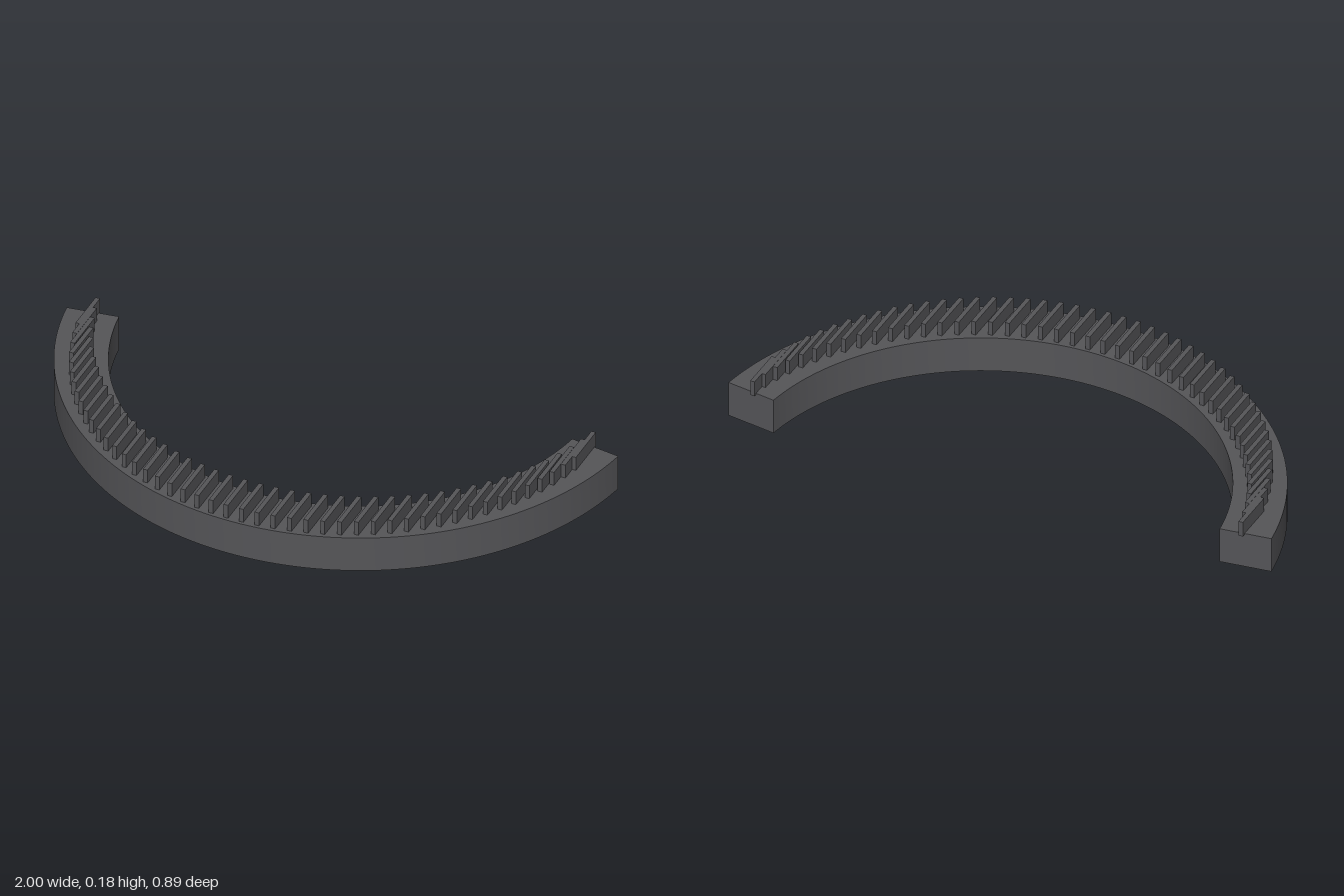
import * as THREE from 'three';
import { toCreasedNormals } from 'three/addons/utils/BufferGeometryUtils.js';

const CENTER_Z = -0.563;
const OUTER_R = 1.01, INNER_R = 0.83, TOOTH_R = 0.92;
const BODY_H = 0.132, TOTAL_H = 0.184;

export function createModel() {
  const model = new THREE.Group();
  model.name = 'curvedToothedRail';
  const darkGrey = new THREE.MeshStandardMaterial({ color: 0x555558 });
  darkGrey.name = 'dark grey';

  // Curved body: a ring sector a little under a half circle, open to the back
  const end = THREE.MathUtils.degToRad(8.05);
  const sector = new THREE.Shape();
  sector.absarc(0, 0, OUTER_R, end, Math.PI - end, false);
  sector.absarc(0, 0, INNER_R, Math.PI - end, end, true);
  sector.closePath();
  const bodyGeometry = new THREE.ExtrudeGeometry(sector, {
    depth: BODY_H, bevelEnabled: false, curveSegments: 72,
  });
  bodyGeometry.rotateX(Math.PI / 2).translate(0, BODY_H, CENTER_Z);
  const body = new THREE.Mesh(toCreasedNormals(bodyGeometry, Math.PI / 6), darkGrey);
  body.name = 'curvedBody';
  model.add(body);

  // Thin upright teeth along the arc, all facing the same way
  const teeth = new THREE.Group();
  teeth.name = 'teeth';
  const sink = 0.005;
  const toothGeometry = new THREE.BoxGeometry(0.016, TOTAL_H - BODY_H + sink, 0.157);
  const count = 46, first = THREE.MathUtils.degToRad(12.2);
  for (let i = 0; i < count; i++) {
    const a = first + (Math.PI - 2 * first) * i / (count - 1);
    const tooth = new THREE.Mesh(toothGeometry, darkGrey);
    tooth.name = 'tooth';
    tooth.position.set(
      TOOTH_R * Math.cos(a), (TOTAL_H + BODY_H - sink) / 2, CENTER_Z + TOOTH_R * Math.sin(a));
    teeth.add(tooth);
  }
  model.add(teeth);
  return model;
}
